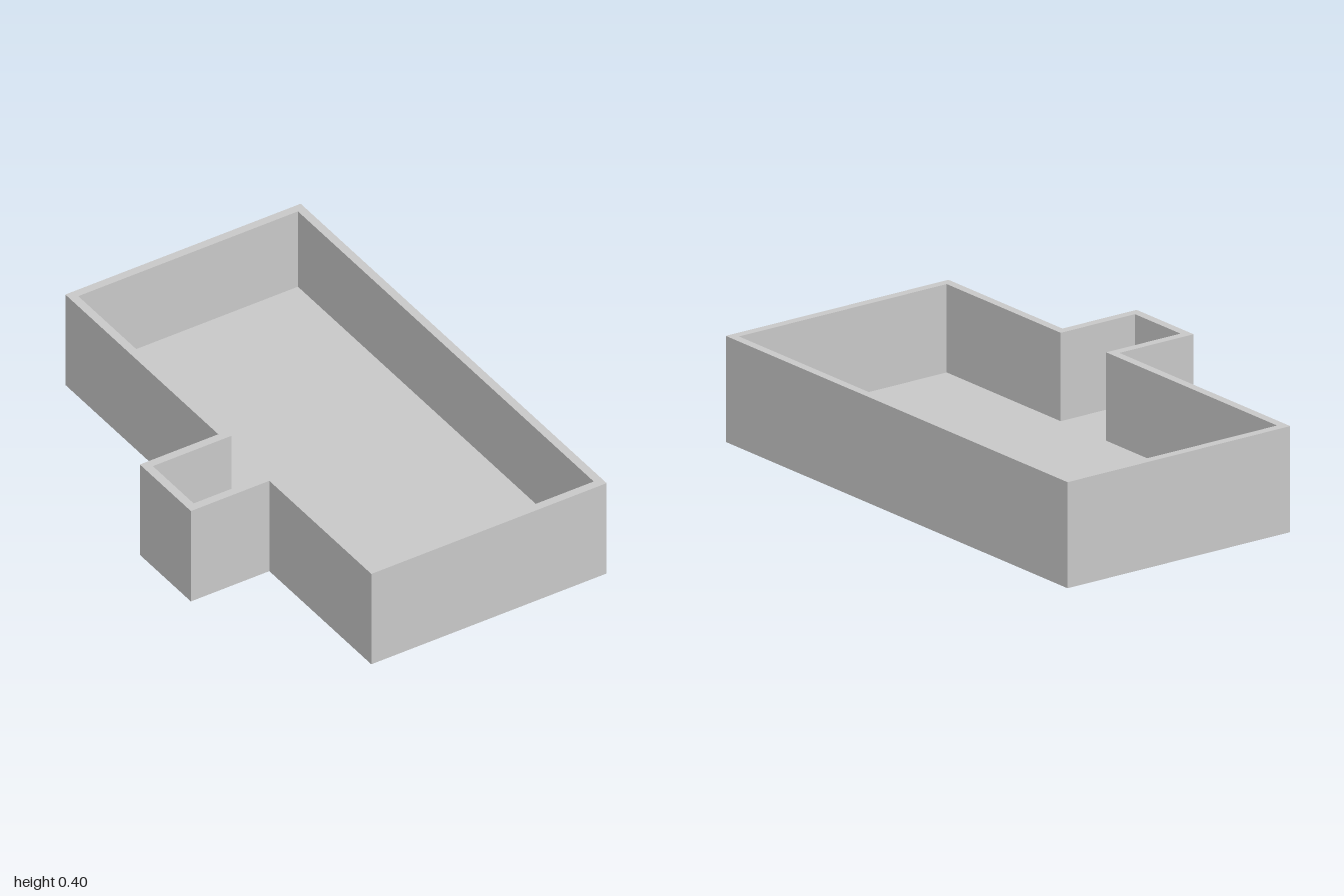
import * as THREE from 'three';

const HEIGHT = 0.4;
const FLOOR = 1 / 15;
const WALL = 1 / 30;

// Plan outline of the main room plus the side alcove, inset by d on every side
function outline(d) {
  const a = 1 / 3, b = 2 / 3;
  return [
    [-a + d, -1 + d], [b - d, -1 + d], [b - d, 1 - d], [-a + d, 1 - d],
    [-a + d, a - d], [-b + d, a - d], [-b + d, d], [-a + d, d],
  ].map(([x, z]) => new THREE.Vector2(x, -z));
}

// Raise a plan shape from height y0 to y1
function raise(name, shape, y0, y1, material) {
  const geometry = new THREE.ExtrudeGeometry(shape, { depth: y1 - y0, bevelEnabled: false });
  geometry.rotateX(-Math.PI / 2);
  geometry.translate(0, y0, 0);
  const mesh = new THREE.Mesh(geometry, material);
  mesh.name = name;
  return mesh;
}

export function createModel() {
  const group = new THREE.Group();
  group.name = 'openRoom';
  const material = new THREE.MeshStandardMaterial({ color: 0xcccccc });

  // Solid floor slab
  group.add(raise('floor', new THREE.Shape(outline(0)), 0, FLOOR, material));

  // Continuous wall ring standing on the slab; the hole winds opposite to the outline
  const ring = new THREE.Shape(outline(0));
  ring.holes.push(new THREE.Path(outline(WALL).reverse()));
  group.add(raise('walls', ring, FLOOR, HEIGHT, material));

  return group;
}
